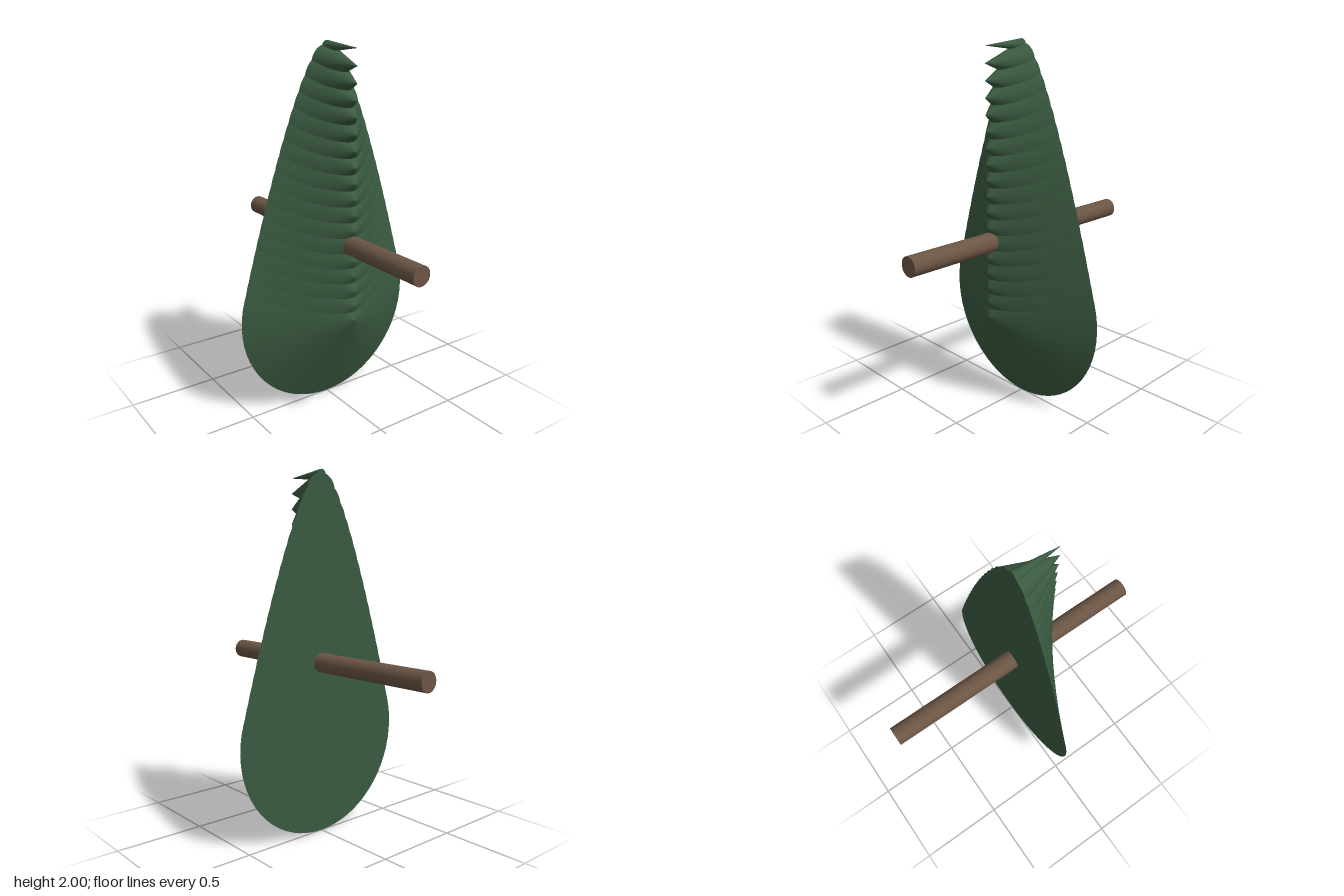
import * as THREE from 'three';

const LAYERS = 18;
const DEPTH = 0.255;

export function createModel() {
  const model = new THREE.Group();
  const green = new THREE.MeshStandardMaterial({ color: 0x3a5a40 });
  const brown = new THREE.MeshStandardMaterial({ color: 0x6b5544 });

  // Tree: forward-pointing cones, shrinking towards the top, with flat backs at z = 0
  const foliage = new THREE.Group();
  foliage.name = 'foliage';
  for (let i = 0; i < LAYERS; i++) {
    const t = i / (LAYERS - 1);
    const radius = 0.03 + 0.517 * Math.pow(1 - t, 0.73);
    const geometry = new THREE.ConeGeometry(radius, DEPTH, 64);
    geometry.rotateX(Math.PI / 2);
    const cone = new THREE.Mesh(geometry, green);
    cone.name = 'foliageCone' + (i + 1);
    cone.position.set(0, 0.547 + 1.423 * t, DEPTH / 2);
    foliage.add(cone);
  }
  model.add(foliage);

  // Trunk: a round rod running front to back through the foliage
  const trunk = new THREE.Mesh(new THREE.CylinderGeometry(0.053, 0.053, 1.52, 32), brown);
  trunk.name = 'trunk';
  trunk.rotation.x = Math.PI / 2;
  trunk.position.y = 0.967;
  model.add(trunk);

  return model;
}
